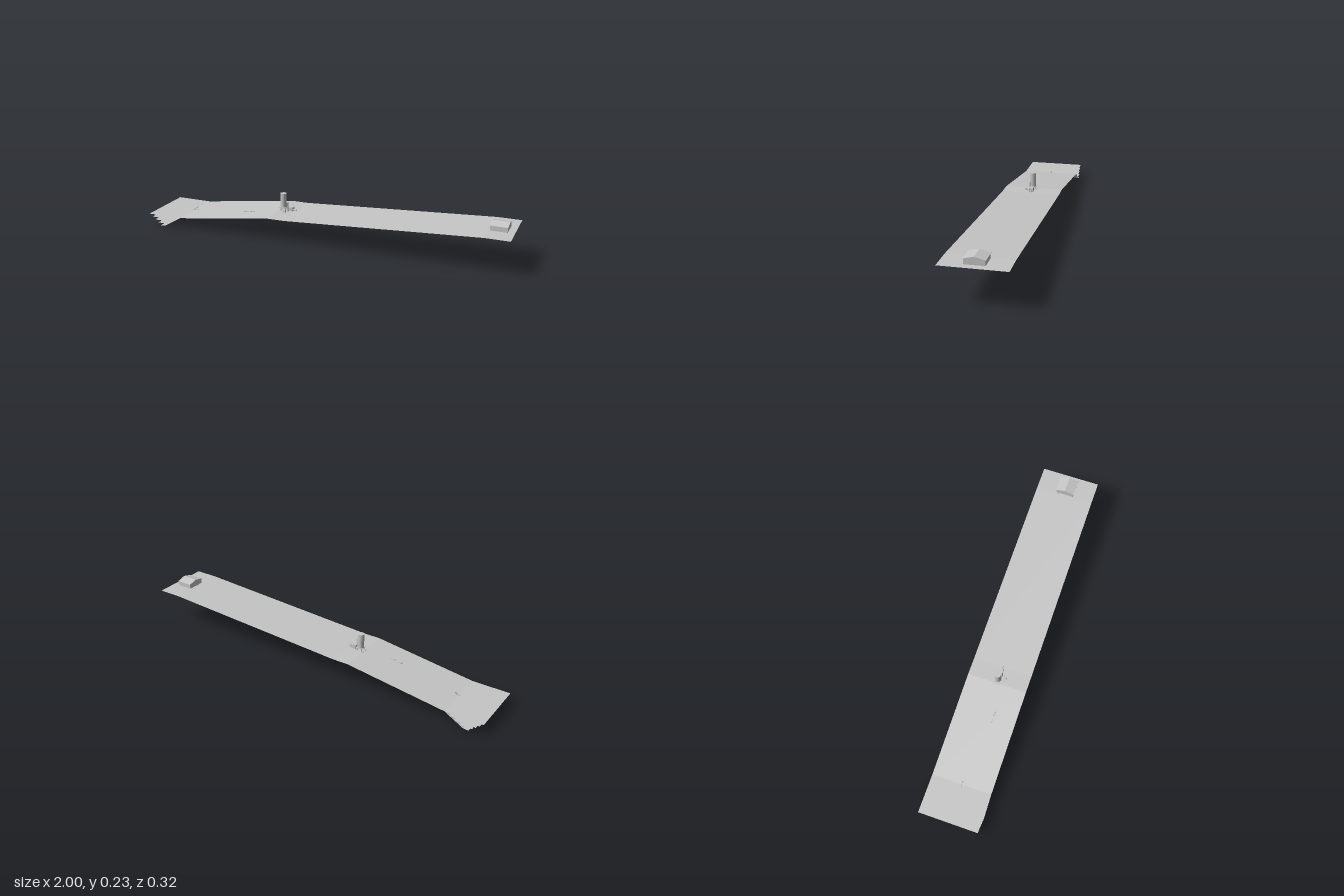
import * as THREE from 'three';

export function createModel() {
  const model = new THREE.Group();
  const grey = new THREE.MeshStandardMaterial({ color: 0xc6c6c6, side: THREE.DoubleSide, flatShading: true });
  grey.name = 'pale grey';
  const smoothGrey = grey;

  const add = (name, geo, x = 0, y = 0, z = 0, parent = model) => {
    const m = new THREE.Mesh(geo, grey);
    m.name = name;
    m.position.set(x, y, z);
    parent.add(m);
    return m;
  };
  const box = (name, w, h, d, x, y, z, parent) => add(name, new THREE.BoxGeometry(w, h, d), x, y, z, parent);
  const cyl = (name, r, h, x, y, z, parent, sides = 16) =>
    add(name, new THREE.CylinderGeometry(r, r, h, sides), x, y, z, parent);

  // Straight pipe between two points
  const pipe = (name, a, b, r, parent) => {
    const p = new THREE.Vector3(...a), q = new THREE.Vector3(...b);
    const m = cyl(name, r, p.distanceTo(q), 0, 0, 0, parent, 8);
    m.position.copy(p).add(q).multiplyScalar(0.5);
    m.quaternion.setFromUnitVectors(new THREE.Vector3(0, 1, 0), q.sub(p).normalize());
    return m;
  };

  // Thin sheet that sweeps an x/y profile across the width
  const halfWidth = 0.158;
  const sheet = (name, profile) => {
    const pos = [];
    for (let i = 0; i + 1 < profile.length; i++) {
      const [x0, y0] = profile[i], [x1, y1] = profile[i + 1], w = halfWidth;
      pos.push(x0, y0, -w, x0, y0, w, x1, y1, w, x0, y0, -w, x1, y1, w, x1, y1, -w);
    }
    const g = new THREE.BufferGeometry();
    g.setAttribute('position', new THREE.Float32BufferAttribute(pos, 3));
    g.computeVertexNormals();
    return add(name, g);
  };

  // Hillside, seabed and water
  const land = [[-0.8, 0.06], [-0.26, 0.133], [-0.17, 0.133], [0.875, 0.195], [1, 0.195]];
  sheet('hillside', land);
  sheet('seabed', [[-0.93, 0], [-0.9, 0.003], [-0.8, 0.06]]);
  sheet('waterSurface', [[-1, 0.06], [-0.8, 0.06]]);
  for (let i = 1; i <= 3; i++) {
    const y = 0.06 - i * 0.015;
    sheet('waterLayer', [[-1 + i * 0.018, y], [-0.8 - i * 0.026, y]]);
  }
  const groundY = (x) => {
    for (let i = 0; i + 1 < land.length; i++) {
      const [x0, y0] = land[i], [x1, y1] = land[i + 1];
      if (x <= x1) return y0 + (y1 - y0) * (x - x0) / (x1 - x0);
    }
    return 0.195;
  };

  // Sea intake pipe and shore pump
  pipe('intakePipe', [-0.9, 0.003, 0], [-0.785, 0.076, 0], 0.0015);
  const pump = new THREE.Group();
  pump.name = 'shorePump';
  model.add(pump);
  box('pumpBase', 0.018, 0.004, 0.006, -0.79, 0.063, 0, pump);
  pipe('pumpArm', [-0.79, 0.063, 0], [-0.783, 0.078, -0.006], 0.0012, pump);

  // Buried feed pipe up the slope
  pipe('feedPipe', [-0.79, 0.06, 0.0], [-0.25, 0.133, 0.026], 0.0012);

  // Small roadside tanks halfway up the slope
  for (const x of [-0.45, -0.41]) {
    box('slopeTank', 0.025, 0.006, 0.008, x, groundY(x) + 0.001, 0.04);
  }

  // Processing plant on the terrace
  const plant = new THREE.Group();
  plant.name = 'plant';
  model.add(plant);
  box('towerPlinth', 0.06, 0.003, 0.04, -0.235, 0.1325, 0, plant);
  cyl('tower', 0.017, 0.078, -0.241, 0.189, 0, plant, 20);
  for (const sx of [-1, 1]) for (const sz of [-1, 1]) {
    box('towerLeg', 0.004, 0.018, 0.004, -0.241 + sx * 0.012, 0.142, sz * 0.012, plant);
  }
  box('towerDeck', 0.036, 0.003, 0.036, -0.241, 0.15, 0, plant);
  box('machineHousing', 0.034, 0.02, 0.022, -0.2, 0.146, 0, plant);
  cyl('standpipe', 0.004, 0.05, -0.212, 0.16, 0.012, plant, 10);
  pipe('crossPipe', [-0.22, 0.14, 0.012], [-0.22, 0.14, 0.036], 0.003, plant);
  box('valveBox', 0.012, 0.012, 0.01, -0.22, 0.139, 0.034, plant);
  pipe('outletPipe', [-0.19, 0.142, 0], [-0.165, 0.142, 0], 0.004, plant);

  // Dashed line of buried pipe pieces climbing to the house
  for (let i = 0; i < 6; i++) {
    const x = 0.857 - i * 0.185;
    pipe('supplyPipe', [x - 0.02, groundY(x - 0.02) - 0.001, 0], [x + 0.02, groundY(x + 0.02) - 0.001, 0], 0.0012);
  }

  // House with a ridge running along x
  const house = new THREE.Group();
  house.name = 'house';
  model.add(house);
  const gable = new THREE.Shape([[-0.048, 0.195], [0.048, 0.195], [0.048, 0.221], [0, 0.233], [-0.048, 0.221]]
    .map(([a, b]) => new THREE.Vector2(a, b)));
  const walls = add('houseWalls', new THREE.ExtrudeGeometry(gable, { depth: 0.086, bevelEnabled: false }), 0.879, 0, 0, house);
  walls.rotation.y = Math.PI / 2;
  const slope = new THREE.Shape([[-0.051, 0.22], [0, 0.233], [0.051, 0.22], [0.051, 0.2212], [0, 0.2345], [-0.051, 0.2212]]
    .map(([a, b]) => new THREE.Vector2(a, b)));
  const roof = add('houseRoof', new THREE.ExtrudeGeometry(slope, { depth: 0.09, bevelEnabled: false }), 0.877, 0, 0, house);
  roof.rotation.y = Math.PI / 2;
  for (const z of [0.007, -0.034]) box('houseOutlet', 0.012, 0.003, 0.005, 0.87, 0.195, z, house);

  return model;
}
